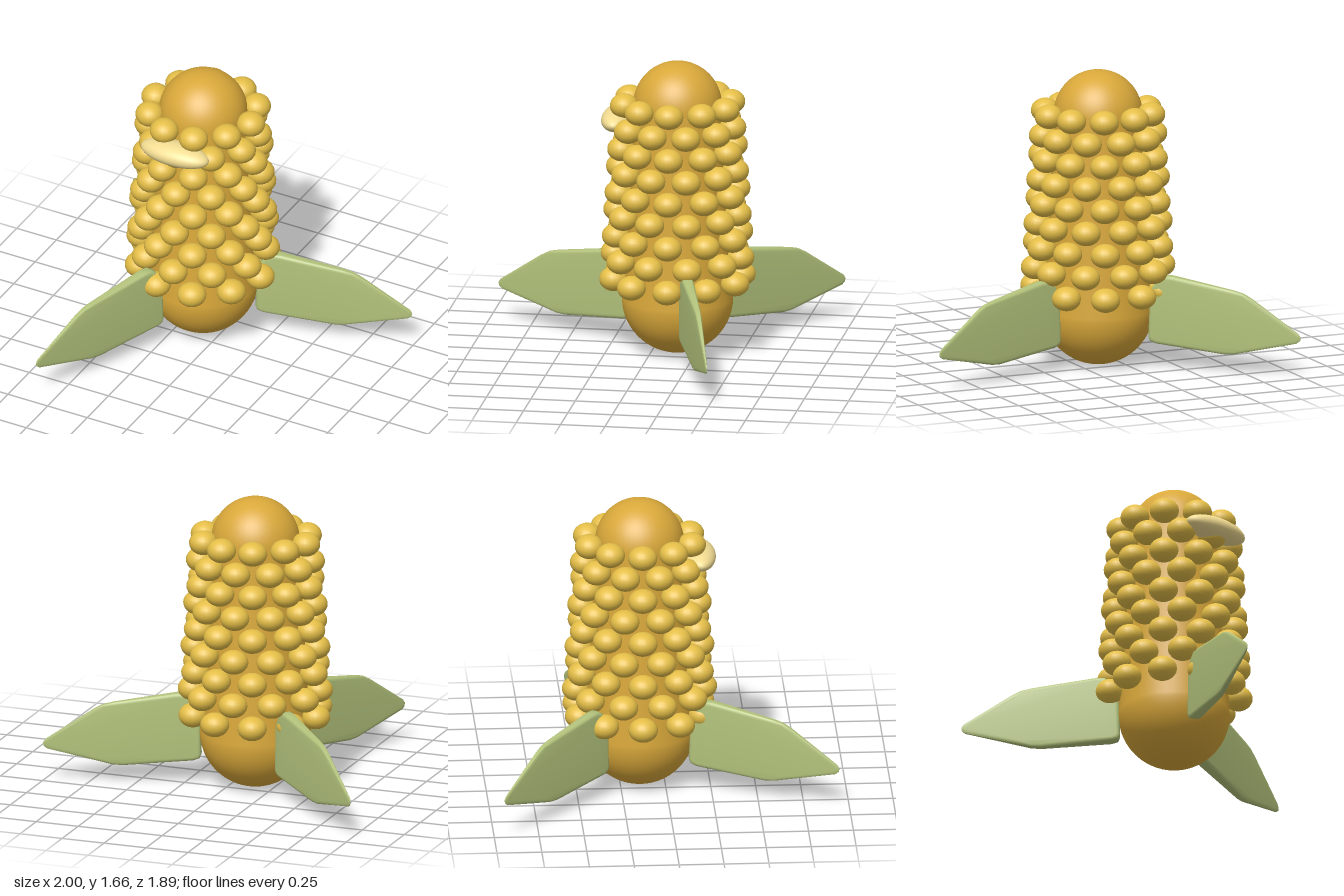
import * as THREE from 'three';
import { toCreasedNormals } from 'three/addons/utils/BufferGeometryUtils.js';

const paint = (color) => new THREE.MeshStandardMaterial({ color });

// Tapered cob with a round bottom and a smaller round top
function cobGeometry() {
  const pts = [];
  const n = 20;
  for (let i = 0; i <= n; i++) {
    const a = (i / n) * Math.PI / 2;
    pts.push(new THREE.Vector2(0.31 * Math.sin(a), 0.315 - 0.31 * Math.cos(a)));
  }
  for (let i = 0; i <= n; i++) {
    const a = (i / n) * Math.PI / 2;
    pts.push(new THREE.Vector2(0.247 * Math.cos(a), 1.423 + 0.247 * Math.sin(a)));
  }
  pts[0].x = pts[pts.length - 1].x = 0;
  return new THREE.LatheGeometry(pts, 48);
}

// Upright husk leaf: bevelled outline whose thickness thins out to the tip
function leafGeometry() {
  const outline = [
    [0.30, 0.18], [0.31, 0.155], [0.345, 0.142], [0.74, 0.104], [0.80, 0.108], [0.86, 0.122],
    [1.16, 0.19], [1.18, 0.205], [1.183, 0.225], [1.17, 0.245],
    [0.90, 0.425], [0.85, 0.452], [0.79, 0.467], [0.44, 0.528], [0.39, 0.53], [0.35, 0.505], [0.31, 0.44],
  ].map(([x, y]) => new THREE.Vector2(x, y));
  const geo = new THREE.ExtrudeGeometry(new THREE.Shape(outline), {
    depth: 1, bevelEnabled: true, bevelThickness: 0.5, bevelSize: 0.022, bevelOffset: -0.022, bevelSegments: 4,
  });
  geo.translate(0, 0, -0.5);
  const p = geo.attributes.position;
  for (let i = 0; i < p.count; i++) {
    const half = THREE.MathUtils.mapLinear(p.getX(i), 0.3, 1.18, 0.037, 0.006);
    p.setZ(i, p.getZ(i) * half);
  }
  return toCreasedNormals(geo, 0.7);
}

export function createModel() {
  const model = new THREE.Group();
  model.name = 'cornCob';
  const corn = new THREE.Group();
  corn.name = 'corn';
  corn.position.set(-0.13, 0, -0.14);
  model.add(corn);

  const add = (parent, name, geometry, material) => {
    const mesh = new THREE.Mesh(geometry, material);
    mesh.name = name;
    parent.add(mesh);
    return mesh;
  };

  add(corn, 'cob', cobGeometry(), paint(0xd9a83a));

  // Nine staggered rings of ten kernels
  const kernels = new THREE.Group();
  kernels.name = 'kernels';
  corn.add(kernels);
  const kernelGeo = new THREE.SphereGeometry(1, 20, 14);
  const kernelMat = paint(0xe4be48);
  for (let row = 0; row < 9; row++) {
    const radius = 0.36 - 0.0075 * row;
    for (let i = 0; i < 10; i++) {
      const a = (i + (row % 2 ? 0 : 0.5)) * Math.PI / 5;
      const kernel = add(kernels, 'kernel', kernelGeo, kernelMat);
      kernel.position.set(radius * Math.sin(a), 0.435 + 0.1245 * row, radius * Math.cos(a));
      kernel.rotation.y = a;
      kernel.scale.set(0.082, 0.068, 0.08);
    }
  }

  // Pale oval band across the front
  const band = add(corn, 'frontBand', new THREE.SphereGeometry(1, 32, 20), paint(0xf2dc92));
  band.position.set(0, 1.335, 0.333);
  band.scale.set(0.21, 0.064, 0.092);

  // Three husk leaves
  const leafGeo = leafGeometry();
  const leafMat = paint(0xb2c27b);
  for (const degrees of [-17.2, 113.5, 222.6]) {
    const leaf = add(corn, 'huskLeaf', leafGeo, leafMat);
    leaf.rotation.y = -THREE.MathUtils.degToRad(degrees);
  }
  return model;
}
